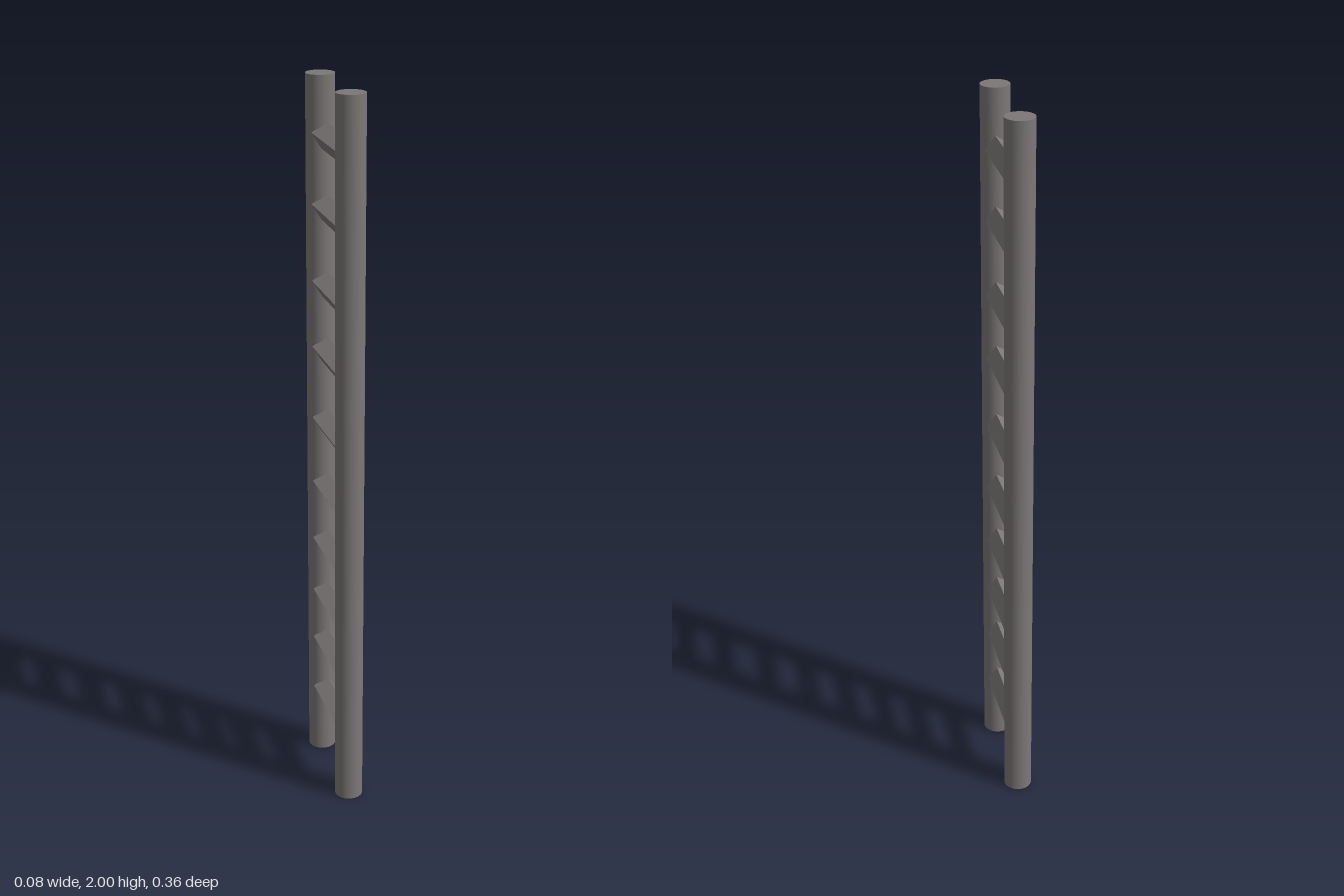
import * as THREE from 'three';

export function createModel() {
  const ladder = new THREE.Group();
  ladder.name = 'ladder';
  const material = new THREE.MeshStandardMaterial({ color: 0x7d7878 });

  // Two round side rails
  const railGeometry = new THREE.CylinderGeometry(0.039, 0.039, 2, 32);
  for (const [name, side] of [['frontRail', 1], ['backRail', -1]]) {
    const rail = new THREE.Mesh(railGeometry, material);
    rail.name = name;
    rail.position.set(0, 1, side * 0.139);
    ladder.add(rail);
  }

  // Square rungs, turned about their length and unevenly spaced
  const rungGeometry = new THREE.BoxGeometry(0.048, 0.048, 0.218);
  const rungHeights = [0.206, 0.371, 0.525, 0.689, 0.864, 1.055, 1.261, 1.446, 1.655, 1.844];
  rungHeights.forEach((y, i) => {
    const rung = new THREE.Mesh(rungGeometry, material);
    rung.name = `rung${i + 1}`;
    rung.position.y = y;
    rung.rotation.z = THREE.MathUtils.degToRad(31);
    ladder.add(rung);
  });

  return ladder;
}
